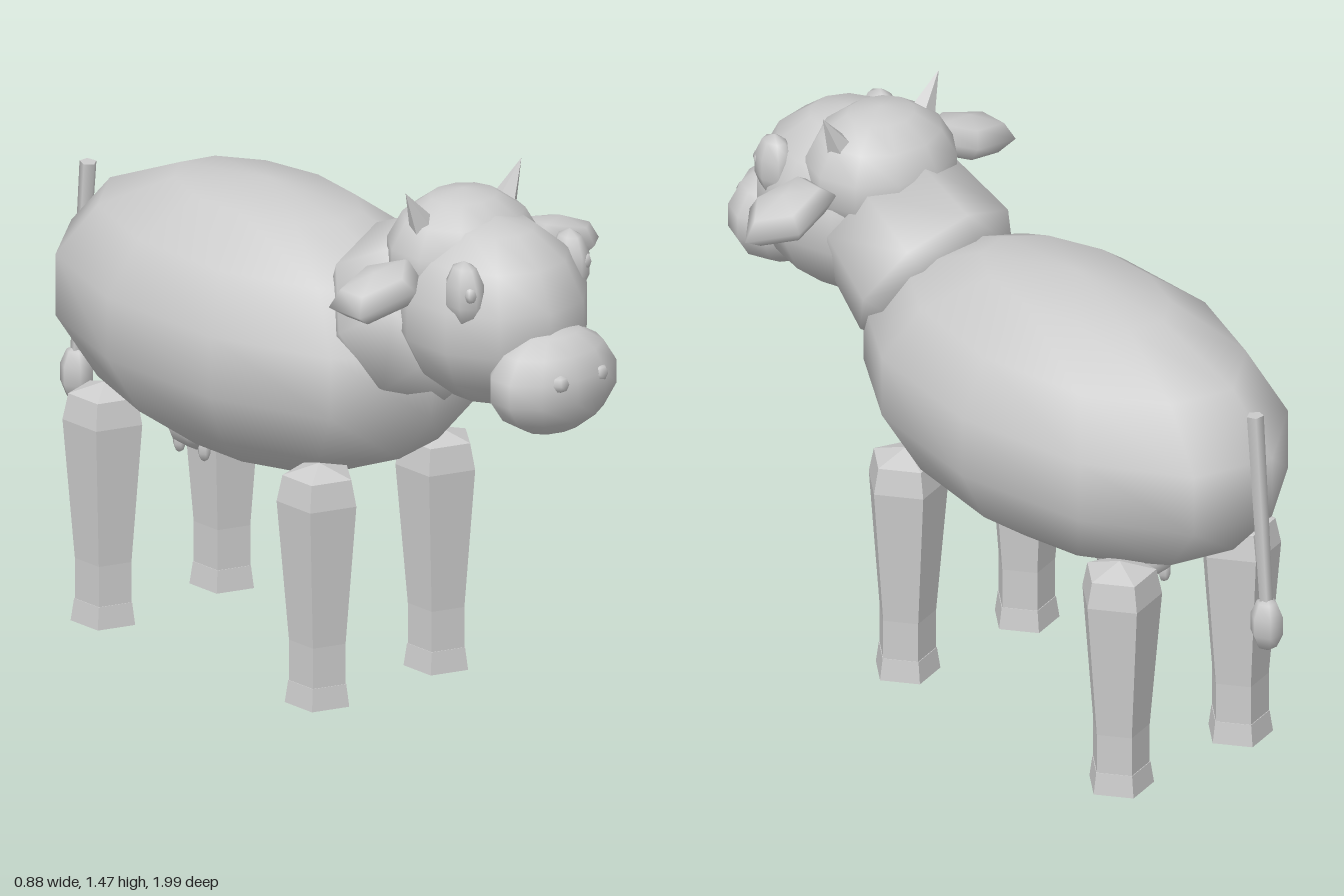
import * as THREE from 'three';

const hide = new THREE.MeshStandardMaterial({ color: 0xcccccc });
hide.name = 'pale grey';

function add(parent, name, geometry, x, y, z) {
  const mesh = new THREE.Mesh(geometry, hide);
  mesh.name = name;
  mesh.position.set(x, y, z);
  parent.add(mesh);
  return mesh;
}

// Smooth low-poly ellipsoid with one corner pointing to +x
function blob(rx, ry, rz, sides = 11, rings = 7) {
  return new THREE.SphereGeometry(1, sides, rings).rotateY(Math.PI).scale(rx, ry, rz);
}

// Lathe from [radius, height] pairs, first corner at +x
function turned(points, sides) {
  const profile = points.map(([r, h]) => new THREE.Vector2(r, h));
  return new THREE.LatheGeometry(profile, sides, Math.PI / 2);
}

// Faceted copy of a geometry
function faceted(geometry) {
  const flat = geometry.toNonIndexed();
  flat.computeVertexNormals();
  return flat;
}

export function createModel() {
  const model = new THREE.Group();
  model.name = 'cow';
  const cow = new THREE.Group();
  cow.name = 'cowParts';
  cow.position.x = -0.015;
  model.add(cow);

  // Torso and neck
  add(cow, 'body', blob(0.403, 0.375, 0.715), 0, 0.89, -0.22);
  const neck = add(cow, 'neck',
    turned([[0, -0.1], [0.2, -0.08], [0.245, 0], [0.215, 0.2], [0, 0.2]], 8), 0, 1.045, 0.325);
  neck.rotation.x = 1.02;

  // Head
  const head = new THREE.Group();
  head.name = 'head';
  cow.add(head);
  add(head, 'skull', blob(0.215, 0.175, 0.19), 0, 1.265, 0.53);
  add(head, 'face', blob(0.243, 0.25, 0.27), 0, 1.145, 0.64);
  add(head, 'muzzle', blob(0.193, 0.143, 0.133), 0, 1.012, 0.87);

  for (const side of [1, -1]) {
    const label = side > 0 ? 'left' : 'right';
    add(head, label + 'Nostril', blob(0.028, 0.024, 0.022, 6, 4), side * 0.067, 1.04, 0.975);
    add(head, label + 'Eye', blob(0.046, 0.09, 0.062, 7, 5), side * 0.182, 1.25, 0.735);
    add(head, label + 'Pupil', blob(0.018, 0.024, 0.02, 5, 4), side * 0.198, 1.26, 0.775);

    const ear = add(head, label + 'Ear', blob(0.15, 0.057, 0.1, 5, 4), side * 0.308, 1.235, 0.545);
    ear.rotation.z = -side * 0.25;

    const horn = add(head, label + 'Horn', faceted(new THREE.ConeGeometry(0.037, 0.12, 5)),
      side * 0.17, 1.42, 0.53);
    horn.rotation.z = -side * 0.52;
  }

  // Legs: rounded top, tapering shank and flared hoof, all five-sided
  const shank = faceted(turned(
    [[0.078, 0.055], [0.078, 0.17], [0.11, 0.55], [0.095, 0.62], [0, 0.65]], 5));
  const hoof = faceted(turned([[0, 0], [0.089, 0], [0.08, 0.06], [0, 0.06]], 5));
  for (const [end, z] of [['front', 0.205], ['back', -0.615]]) {
    for (const side of [1, -1]) {
      const leg = new THREE.Group();
      leg.name = end + (side > 0 ? 'Left' : 'Right') + 'Leg';
      leg.position.set(side * 0.205, 0, z);
      add(leg, 'shank', shank, 0, 0, 0);
      add(leg, 'hoof', hoof, 0, 0, 0);
      cow.add(leg);
    }
  }

  // Udder with four teats
  add(cow, 'udder', blob(0.115, 0.075, 0.1, 9, 6), 0, 0.54, -0.45);
  for (const x of [-0.052, 0.052]) {
    for (const z of [-0.405, -0.5]) {
      add(cow, 'teat', blob(0.018, 0.035, 0.018, 6, 5), x, 0.485, z);
    }
  }

  // Tail with tuft
  const tail = add(cow, 'tail', new THREE.CylinderGeometry(0.023, 0.018, 0.55, 5), 0, 0.845, -0.929);
  tail.rotation.x = 0.08;
  add(cow, 'tailTuft', blob(0.045, 0.078, 0.047, 6, 5), 0, 0.53, -0.952);

  return model;
}
